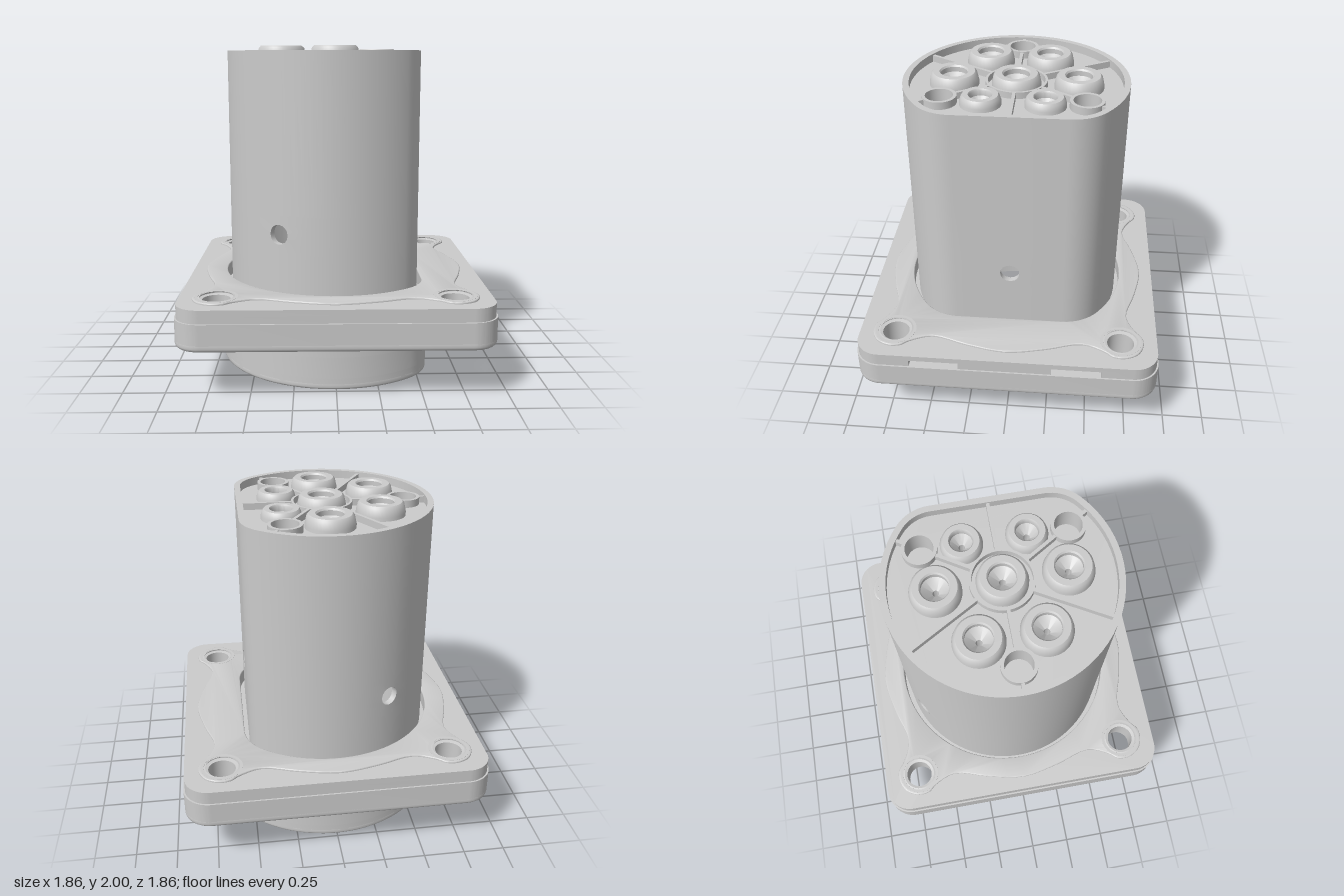
import * as THREE from 'three';
import { toCreasedNormals } from 'three/addons/utils/BufferGeometryUtils.js';

const R = 0.67, FLAT = 0.512, FILLET = 0.25;          // round body with one flat side
const CX = FLAT - FILLET, CZ = Math.sqrt((R - FILLET) ** 2 - CX ** 2);
const TURN = Math.atan2(CZ, CX);                      // angle where fillet meets the big arc
const HOLE_R = 0.06, CELL = 0.03;
const CORNER = 0.695;
const mat = new THREE.MeshStandardMaterial({ color: 0xcccccc, side: THREE.DoubleSide });

// Point on the outline, for a normal angle and an outward offset d
function onOutline(a, d) {
  const side = a > Math.PI ? -1 : 1;
  const t = side > 0 ? a : 2 * Math.PI - a;
  return t < TURN
    ? [CX + (FILLET + d) * Math.cos(t), side * (CZ + (FILLET + d) * Math.sin(t))]
    : [(R + d) * Math.cos(t), side * (R + d) * Math.sin(t)];
}

const range = (a, b, n) => Array.from({ length: n + 1 }, (_, i) => a + (b - a) * i / n);

// Closed outline at offset d, optionally with a pocket in the flat
function outline(d, pocket) {
  const full = 2 * Math.PI;
  const angles = [...range(0, TURN, 8), ...range(TURN, full - TURN, 56).slice(1), ...range(full - TURN, full, 8).slice(1)];
  const pts = angles.map(a => new THREE.Vector2(...onOutline(a, d)));
  if (pocket) {
    const x = FLAT + d, [w, depth] = pocket;
    pts.push(...[[x, -w], [x - depth, -w], [x - depth, w], [x, w]].map(p => new THREE.Vector2(...p)));
  }
  return pts;
}

function circle(x, y, r) {
  return new THREE.Path().absarc(x, y, r, 0, Math.PI * 2, true);
}

function mesh(name, geo, crease = 0.6) {
  const m = new THREE.Mesh(toCreasedNormals(geo, crease), mat);
  m.name = name;
  return m;
}

// Horizontal slab between two heights, with an optional edge bevel
function slab(name, shape, y0, y1, bevel = 0) {
  const geo = new THREE.ExtrudeGeometry(shape, {
    depth: y1 - y0 - 2 * bevel, curveSegments: 16, bevelEnabled: bevel > 0,
    bevelThickness: bevel, bevelSize: bevel, bevelOffset: -bevel, bevelSegments: 3,
  });
  geo.rotateX(-Math.PI / 2).translate(0, y0 + bevel, 0);
  return mesh(name, geo);
}

function lathe(name, pts, x, z) {
  const m = mesh(name, new THREE.LatheGeometry(pts.map(p => new THREE.Vector2(...p)), 40));
  m.position.set(x, 0, z);
  return m;
}

function shapeWithHoles(pts, ...holes) {
  const s = new THREE.Shape(pts);
  s.holes.push(...holes);
  return s;
}

// Barrel wall: a grid around the outline, its cells opened into round side holes
function barrelWall() {
  const T = 0.037, ks = [-2, -1, 0, 1, 2];
  const arc = (a, k) => ({ k, at: (u, d) => onOutline(a + u / R, d) });
  const flat = (z, k) => ({ k, at: (u, d) => [FLAT + d, z + u] });
  const A = Math.PI * 2 / 3, full = Math.PI * 2, w = 2 * CELL / R;
  const cols = [
    ...ks.map(k => flat(k * CELL, k)),
    ...range(0, TURN, 8).map(a => arc(a)),
    ...range(TURN, A - w, 14).slice(1, -1).map(a => arc(a)),
    ...ks.map(k => arc(A + k * CELL / R, k)),
    ...range(A + w, full - A - w, 24).slice(1, -1).map(a => arc(a)),
    ...ks.map(k => arc(full - A + k * CELL / R, k)),
    ...range(full - A + w, full - TURN, 14).slice(1, -1).map(a => arc(a)),
    ...range(full - TURN, full - 1e-6, 8).map(a => arc(a)),
  ];
  const rows = [{ y: 0.02 }, { y: 0.4 }, { y: 0.79 }, ...ks.map(k => ({ y: 0.905 + k * CELL, k })), { y: 1.02 }, { y: 1.97 }];
  const vert = (i, j, d) => {
    const c = cols[i % cols.length], r = rows[j];
    let u = 0, v = 0;
    if (c.k !== undefined && r.k !== undefined && Math.max(Math.abs(c.k), Math.abs(r.k)) === 2) {
      const s = HOLE_R / Math.hypot(c.k, r.k);
      u = c.k * s - c.k * CELL;
      v = r.k * s - r.k * CELL;
    }
    const [x, z] = c.at(u, d);
    return [x, r.y + v, z];
  };
  const pos = [];
  const quad = (a, b, c, d) => pos.push(...a, ...b, ...c, ...a, ...c, ...d);
  const open = (i, j) => {
    const c = cols[(i + cols.length) % cols.length].k, r = rows[j]?.k;
    return c !== undefined && c < 2 && r !== undefined && r < 2;
  };
  const top = rows.length - 1;
  for (let i = 0; i < cols.length; i++) {
    for (let j = 0; j < top; j++) {
      if (!open(i, j)) {
        quad(vert(i, j, 0), vert(i, j + 1, 0), vert(i + 1, j + 1, 0), vert(i + 1, j, 0));
        quad(vert(i, j, -T), vert(i + 1, j, -T), vert(i + 1, j + 1, -T), vert(i, j + 1, -T));
        continue;
      }
      // sides of the hole
      const edge = (p, q) => quad(vert(...p, 0), vert(...q, 0), vert(...q, -T), vert(...p, -T));
      if (!open(i - 1, j)) edge([i, j], [i, j + 1]);
      if (!open(i + 1, j)) edge([i + 1, j + 1], [i + 1, j]);
      if (!open(i, j - 1)) edge([i + 1, j], [i, j]);
      if (!open(i, j + 1)) edge([i, j + 1], [i + 1, j + 1]);
    }
    quad(vert(i, top, 0), vert(i, top, -T), vert(i + 1, top, -T), vert(i + 1, top, 0));
    quad(vert(i, 0, 0), vert(i + 1, 0, 0), vert(i + 1, 0, -T), vert(i, 0, -T));
  }
  const geo = new THREE.BufferGeometry();
  geo.setAttribute('position', new THREE.Float32BufferAttribute(pos, 3));
  return mesh('barrelWall', geo);
}

// Rounded square, optionally with two slots in its +x edge
function roundedSquare(h, r, slots) {
  const s = new THREE.Shape();
  s.moveTo(-h + r, -h).lineTo(h - r, -h).absarc(h - r, -h + r, r, -Math.PI / 2, 0);
  if (slots) for (const [a, b] of [[-0.58, -0.28], [0.28, 0.58]])
    s.lineTo(h, a).lineTo(h - 0.05, a).lineTo(h - 0.05, b).lineTo(h, b);
  s.absarc(h - r, h - r, r, 0, Math.PI / 2).absarc(-h + r, h - r, r, Math.PI / 2, Math.PI);
  s.absarc(-h + r, -h + r, r, Math.PI, Math.PI * 1.5);
  return s;
}

export function createModel() {
  const model = new THREE.Group();
  model.name = 'connector';
  const corners = [[1, 1], [1, -1], [-1, 1], [-1, -1]].map(c => c.map(v => v * CORNER));
  const drill = (shape, r, d) => {
    shape.holes.push(new THREE.Path(outline(d)), ...corners.map(([x, y]) => circle(x, y, r)));
    return shape;
  };

  // Skirt below the flange, with a pocket in its flat side
  const ring = pocket => shapeWithHoles(outline(0.062, pocket), new THREE.Path(outline(-0.005)));
  model.add(
    slab('skirtLip', ring(), 0, 0.05, 0.015),
    slab('skirtLower', ring(), 0.025, 0.07),
    slab('skirtPocketBand', ring([0.147, 0.05]), 0.07, 0.2),
    slab('skirtUpper', ring(), 0.2, 0.32),
  );

  // Square flange in layers
  model.add(
    slab('flangeBottom', drill(roundedSquare(0.928, 0.16), 0.12, -0.005), 0.31, 0.37, 0.02),
    slab('flangeBody', drill(roundedSquare(0.928, 0.16), 0.12, -0.005), 0.345, 0.475),
    slab('flangeSlotBand', drill(roundedSquare(0.918, 0.15, true), 0.1, 0.03), 0.475, 0.52),
    slab('flangeTop', drill(roundedSquare(0.918, 0.15), 0.1, 0.03), 0.52, 0.555),
  );

  // Wavy gasket pad: one side and corner, turned four times
  let side = [[-0.6, 0.79], [-0.46, 0.735], [-0.24, 0.795], [0, 0.838], [0.24, 0.795], [0.46, 0.735], [0.6, 0.79],
    [0.645, 0.826], [0.715, 0.834], [0.795, 0.795], [0.834, 0.715], [0.826, 0.645]];
  const wave = [];
  for (let i = 0; i < 4; i++) {
    wave.push(...side.map(([x, y]) => new THREE.Vector3(x, y, 0)));
    side = side.map(([x, y]) => [y, -x]);
  }
  const wavePts = new THREE.CatmullRomCurve3(wave, true).getPoints(192).slice(0, -1).map(p => new THREE.Vector2(p.x, p.y));
  model.add(slab('gasketPad', drill(new THREE.Shape(wavePts), 0.105, 0.03), 0.54, 0.567, 0.006));

  // Screw holes with countersinks below and a raised collar above
  for (const [x, z] of corners)
    model.add(lathe('screwHole', [[0.14, 0.31], [0.082, 0.385], [0.082, 0.552], [0.104, 0.556], [0.108, 0.568], [0.126, 0.568], [0.13, 0.54]], x, z));

  model.add(barrelWall());

  // Contact plate, recessed in the barrel's top
  const big = [[0, 0], [0, 0.37], [0, -0.37], [-0.325, 0.185], [-0.325, -0.185]];
  const small = [[0.26, 0.185], [0.26, -0.185]];
  const guides = [[0.26, 0.42], [0.26, -0.42], [-0.5, 0]];
  const plate = shapeWithHoles(outline(-0.02),
    ...big.map(([x, y]) => circle(x, y, 0.135)),
    ...small.map(([x, y]) => circle(x, y, 0.11)),
    ...guides.map(([x, y]) => circle(x, y, 0.09)));
  model.add(slab('contactPlate', plate, 1.8, 1.92));

  // Contact sockets: tapered collar around a funnel and a pin hole
  const socket = (x, z, k, t) => lathe('socket', [[0, 1.55], [0.147 * k, 1.55], [0.147 * k, 1.94], [0.136 * k, t - 0.012],
    [0.124 * k, t], [0.086 * k, t], [0.078 * k, t - 0.01], [0.078 * k, t - 0.04], [0.018, t - 0.09], [0.018, 1.8], [0, 1.8]], x, z);
  big.forEach(([x, z]) => model.add(socket(x, z, 1, 2)));
  small.forEach(([x, z]) => model.add(socket(x, z, 0.82, 1.98)));

  // Blind guide holes
  for (const [x, z] of guides)
    model.add(lathe('guideHole', [[0, 1.76], [0.1, 1.76], [0.1, 1.965], [0.08, 1.965], [0.08, 1.82], [0, 1.82]], x, z));

  // Dividing ribs (angle, inner and outer radius) and the hub ring they meet
  const D = 58.2;
  const ribs = [[0, 0.18, 0.48], [180, 0.18, 0.41], [180, 0.59, 0.64], [120, 0.18, 0.64], [-120, 0.18, 0.64],
    [D, 0.18, 0.4], [D, 0.585, 0.64], [-D, 0.18, 0.4], [-D, 0.585, 0.64]];
  for (const [deg, r0, r1] of ribs) {
    const a = deg * Math.PI / 180, r = (r0 + r1) / 2;
    const rib = mesh('rib', new THREE.BoxGeometry(r1 - r0, 0.05, 0.02));
    rib.position.set(r * Math.cos(a), 1.935, r * Math.sin(a));
    rib.rotation.y = -a;
    model.add(rib);
  }
  model.add(lathe('hubRing', [[0.185, 1.91], [0.185, 1.96], [0.17, 1.96], [0.17, 1.91]], 0, 0));
  return model;
}
